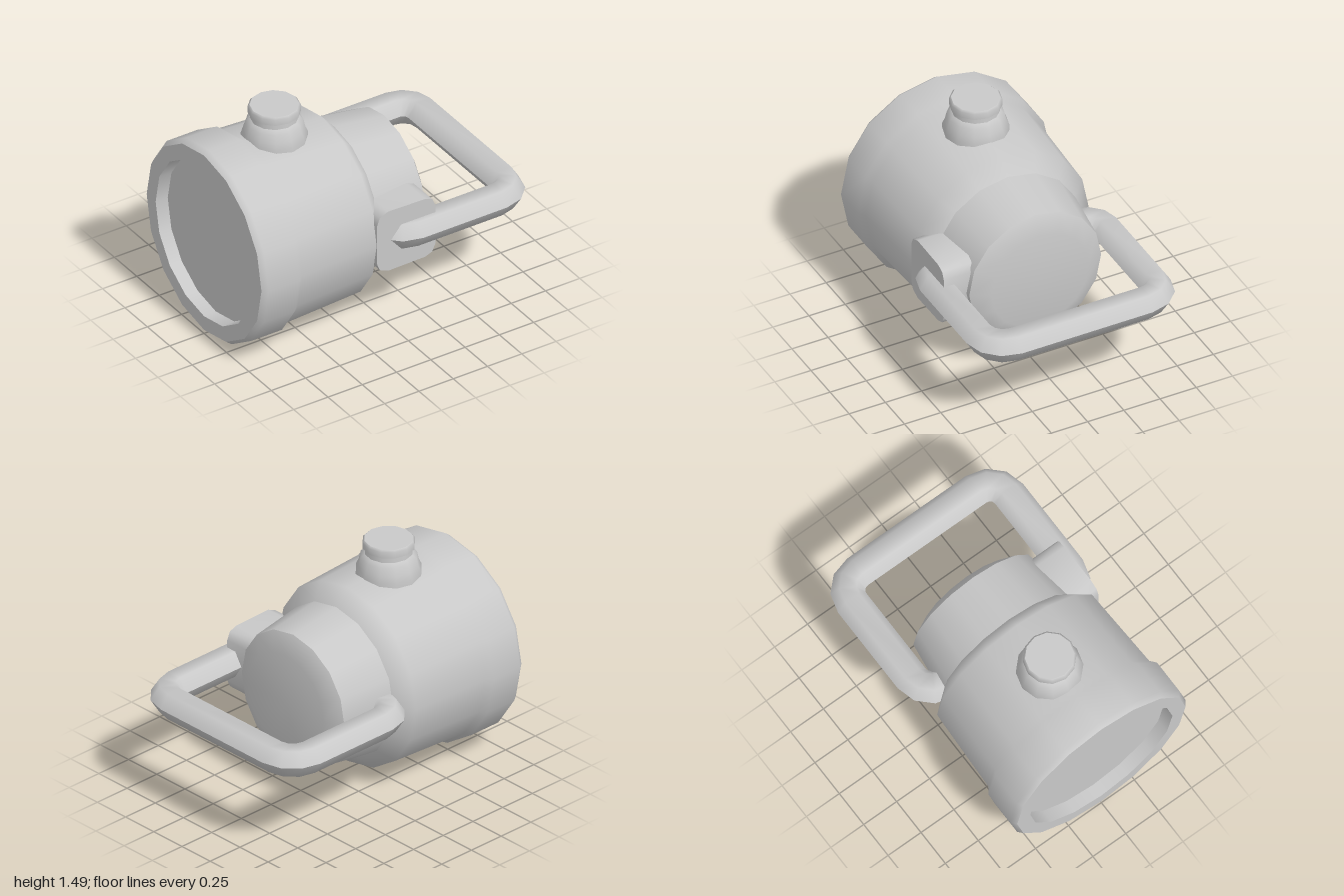
import * as THREE from 'three';
import { toCreasedNormals } from 'three/addons/utils/BufferGeometryUtils.js';

const grey = new THREE.MeshStandardMaterial({ color: 0xc8c8c8 });
grey.name = 'plain grey';

const V = (x, y) => new THREE.Vector2(x, y);

function addMesh(parent, name, geometry) {
  const mesh = new THREE.Mesh(geometry, grey);
  mesh.name = name;
  parent.add(mesh);
  return mesh;
}

// Turned parts: profiles are [radius, position along axis], smooth within each profile
function addTurned(parent, sides, profiles) {
  for (const [name, points] of Object.entries(profiles)) {
    addMesh(parent, name, new THREE.LatheGeometry(points.map(p => V(p[0], p[1])), sides));
  }
}

// Bar swept along a flat path; section points are [outward, up],
// each path entry is a point with its outward direction
function sweepBar(path, section) {
  const n = section.length, positions = [], index = [];
  path.forEach(({ x, z, nx, nz }, i) => {
    section.forEach(([u, v], j) => {
      positions.push(x + nx * u, v, z + nz * u);
      if (i < path.length - 1) {
        const k = (j + 1) % n, p = i * n, q = p + n;
        index.push(p + j, p + k, q + j, p + k, q + k, q + j);
      }
    });
  });
  const geometry = new THREE.BufferGeometry();
  geometry.setAttribute('position', new THREE.Float32BufferAttribute(positions, 3));
  geometry.setIndex(index);
  return toCreasedNormals(geometry, 1.065);
}

export function createModel() {
  const model = new THREE.Group();
  model.name = 'lamp';

  // Body, turned about the x axis
  const body = new THREE.Group();
  body.name = 'body';
  body.rotation.z = -Math.PI / 2;
  body.position.y = 0.67;
  model.add(body);
  addTurned(body, 16, {
    lens: [[0, -0.915], [0.535, -0.915]],
    rimInside: [[0.535, -0.915], [0.54, -1]],
    rimFace: [[0.54, -1], [0.64, -1]],
    housing: [[0.64, -1], [0.666, -0.965], [0.666, -0.74], [0.635, -0.7], [0.61, -0.14], [0.505, -0.05]],
    rearBarrel: [[0.505, -0.05], [0.455, 0.314]],
    rearCap: [[0.455, 0.314], [0.335, 0.377], [0, 0.377]],
  });

  // Push button on top
  const button = new THREE.Group();
  button.name = 'button';
  button.position.set(-0.482, 0, -0.009);
  model.add(button);
  addTurned(button, 12, {
    buttonBase: [[0.207, 1.2], [0.207, 1.288], [0.19, 1.325], [0.178, 1.378], [0.15, 1.402]],
    buttonNeck: [[0.15, 1.402], [0.147, 1.437]],
    buttonUnderside: [[0.147, 1.437], [0.164, 1.442]],
    buttonSide: [[0.164, 1.442], [0.164, 1.483], [0.152, 1.495]],
    buttonTop: [[0.152, 1.495], [0, 1.495]],
  });

  // Mounting block on the side, with clipped corners
  const outline = new THREE.Shape([
    V(-0.14, 0.54), V(-0.12, 0.49), V(-0.06, 0.464), V(0.21, 0.468), V(0.262, 0.488), V(0.285, 0.54),
    V(0.285, 0.82), V(0.262, 0.872), V(0.21, 0.892), V(-0.06, 0.898), V(-0.12, 0.872), V(-0.14, 0.82),
  ]);
  const block = new THREE.ExtrudeGeometry(outline, { depth: 0.255, bevelEnabled: false });
  addMesh(model, 'mountingBlock', toCreasedNormals(block, 0.8)).position.z = 0.36;

  // Handle loop: four quarter-turn corners joined by straight bars, ridged inside and out
  const section = [[0.107, 0], [0.052, 0.088], [-0.052, 0.088], [-0.107, 0], [-0.052, -0.088], [0.052, -0.088]];
  const path = [];
  const corners = [[0.14, -0.45, 180], [0.75, -0.45, 270], [0.75, 0.45, 0], [0.14, 0.45, 90]];
  for (const [cx, cz, start] of corners) {
    for (let i = 0; i <= 3; i++) {
      const a = THREE.MathUtils.degToRad(start + i * 30);
      const nx = Math.cos(a), nz = Math.sin(a);
      path.push({ x: cx + 0.143 * nx, z: cz + 0.146 * nz, nx, nz });
    }
  }
  addMesh(model, 'handle', sweepBar(path, section)).position.y = 0.681;

  return model;
}
